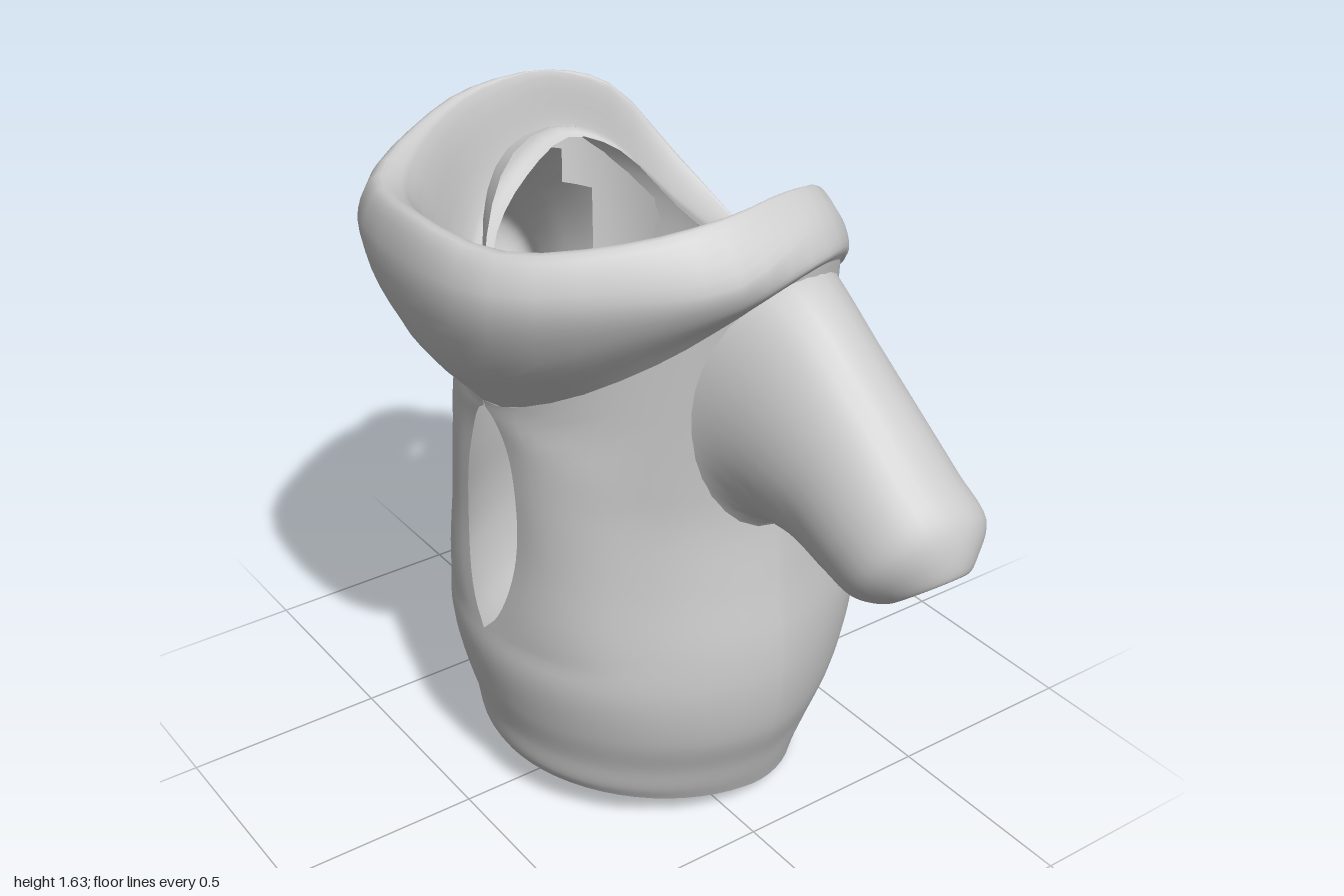
import * as THREE from 'three';
import { mergeVertices } from 'three/addons/utils/BufferGeometryUtils.js';

const V = (x, y, z) => new THREE.Vector3(x, y, z);
const material = new THREE.MeshStandardMaterial({ color: 0xcccccc, side: THREE.DoubleSide });

// Smooth skin through closed rings; each ring maps u in 0..1 to a point.
// warp moves points, hole leaves out faces.
function loft(name, rings, cols, rows, warp = () => {}, hole = () => false) {
  const pts = [], idx = [];
  for (let c = 0; c <= cols; c++) {
    const line = new THREE.CatmullRomCurve3(rings.map(r => r(c / cols)));
    for (let r = 0; r <= rows; r++) {
      const p = line.getPoint(r / rows);
      warp(p, c / cols);
      pts.push(p);
    }
  }
  for (let c = 0; c < cols; c++) for (let r = 0; r < rows; r++) {
    const a = c * (rows + 1) + r, b = a + rows + 1;
    if (!hole(pts[a])) idx.push(a, b, b + 1, a, b + 1, a + 1);
  }
  let geo = new THREE.BufferGeometry().setFromPoints(pts);
  geo.setIndex(idx);
  geo = mergeVertices(geo, 1e-4);
  geo.computeVertexNormals();
  const mesh = new THREE.Mesh(geo, material);
  mesh.name = name;
  return mesh;
}

// Closed loop from points on the +x half, front to back, mirrored.
function halfLoop(...points) {
  const half = points.map(p => V(...p));
  const other = half.slice(1, -1).reverse().map(p => V(-p.x, p.y, p.z));
  const curve = new THREE.CatmullRomCurve3([...half, ...other], true);
  return u => curve.getPoint(u % 1);
}

// Torso ring: front and back heights, half width, front and back depth,
// and how strongly the back narrows towards its middle.
function torsoRing([yF, yB, w, zF, zB, narrow]) {
  return u => {
    const a = (u % 1) * Math.PI * 2, c = Math.cos(a), zc = -0.05;
    return V(w * Math.sin(a), (yF + yB) / 2 + (yF - yB) / 2 * c,
      c > 0 ? zc + (zF - zc) * c : zc + (zB - zc) * Math.pow(-c, narrow));
  };
}

// Sleeve ring: top point, bottom point, front and back depth,
// and how far its front and back wrap around the torso.
function sleeveRing([tx, ty, bx, by, zF, zB, wrap]) {
  return u => {
    const a = (u % 1) * Math.PI * 2, c = Math.cos(a), s = Math.sin(a);
    return V((tx + bx) / 2 + (tx - bx) / 2 * c - wrap * s * s,
      (ty + by) / 2 + (ty - by) / 2 * c, (zF + zB) / 2 + (zF - zB) / 2 * s);
  };
}

// Parts the front of the torso into an almond-shaped opening.
function openFront(p, u) {
  const k = (p.y - 0.79) / 0.29;
  if (p.z < 0 || Math.abs(k) >= 1) return;
  const spread = 0.107 * Math.pow(1 - k * k, 0.62);
  const near = Math.max(0, 1 - Math.abs(p.x) / 0.36);
  p.x += (u < 0.5 ? 1 : -1) * spread * near;
}

// Armholes, hidden under the sleeve roots.
const armhole = p => Math.abs(p.x) > 0.35 &&
  Math.hypot((p.y - 1.16) / 0.22, (p.z + 0.06) / 0.14) < 1;

export function createModel() {
  const group = new THREE.Group();

  // Neck seam shared by torso and hood
  const seam = halfLoop([0, 1.095, 0.41], [0.2, 1.16, 0.36], [0.39, 1.29, 0.22], [0.5, 1.41, 0.08],
    [0.54, 1.49, -0.08], [0.47, 1.45, -0.2], [0.3, 1.32, -0.32], [0.12, 1.21, -0.4], [0, 1.17, -0.437]);

  // Torso from hem to neck
  const torso = [
    [0.1, 0, 0.4, 0.37, -0.4, 1.1],
    [0.13, 0.07, 0.42, 0.385, -0.42, 1.15],
    [0.2, 0.15, 0.447, 0.395, -0.485, 1.3],
    [0.3, 0.27, 0.492, 0.42, -0.545, 1.4],
    [0.43, 0.4, 0.515, 0.44, -0.585, 1.45],
    [0.55, 0.53, 0.515, 0.425, -0.6, 1.45],
    [0.72, 0.7, 0.492, 0.403, -0.56, 1.4],
    [0.88, 0.87, 0.475, 0.397, -0.5, 1.25],
    [1.0, 1.03, 0.48, 0.397, -0.462, 1.15],
  ].map(torsoRing);
  group.add(loft('torso', [...torso, seam], 64, 54, openFront, armhole));

  // Hood: bulging outside, rolled rim, then the lining down to the neck lip
  const bulge = halfLoop([0, 1.26, 0.545], [0.22, 1.29, 0.5], [0.43, 1.39, 0.32], [0.54, 1.45, 0.12],
    [0.56, 1.51, -0.05], [0.49, 1.49, -0.2], [0.32, 1.35, -0.33], [0.13, 1.24, -0.4], [0, 1.18, -0.44]);
  const upper = halfLoop([0, 1.46, 0.6], [0.27, 1.47, 0.55], [0.46, 1.49, 0.33], [0.555, 1.51, 0.13],
    [0.535, 1.57, -0.05], [0.46, 1.55, -0.2], [0.31, 1.4, -0.33], [0.12, 1.25, -0.405], [0, 1.195, -0.44]);
  const rim = halfLoop([0, 1.58, 0.565], [0.25, 1.565, 0.51], [0.41, 1.59, 0.32], [0.48, 1.62, 0.13],
    [0.455, 1.63, -0.07], [0.39, 1.59, -0.2], [0.28, 1.42, -0.32], [0.11, 1.26, -0.405], [0, 1.195, -0.435]);
  const neck = halfLoop([0, 1.19, 0.39], [0.18, 1.23, 0.335], [0.36, 1.34, 0.2], [0.43, 1.43, 0.06],
    [0.43, 1.5, -0.07], [0.37, 1.46, -0.19], [0.25, 1.33, -0.29], [0.1, 1.22, -0.385], [0, 1.175, -0.42]);
  const lining = u => rim(u).lerp(neck(u), 0.35).add(V(0, 0.09 * Math.cos(Math.PI * u) ** 2, 0));
  const lip = u => neck(u).multiply(V(0.95, 1, 0.92)).add(V(0, -0.03, -0.03));
  group.add(loft('hood', [seam, bulge, upper, rim, lining, neck, lip], 48, 30));

  // Sleeves blending out of the torso, with a turned-in cuff
  const sleeve = [
    [0.42, 1.5, 0.43, 0.78, 0.27, -0.37, 0.2],
    [0.56, 1.465, 0.51, 0.882, 0.16, -0.265, 0.1],
    [0.75, 1.305, 0.62, 0.885, 0.1, -0.24, 0.02],
    [0.9, 1.165, 0.71, 0.852, 0.08, -0.25, 0],
    [0.975, 1.085, 0.78, 0.825, 0.06, -0.26, 0],
    [0.998, 1.01, 0.82, 0.825, 0.01, -0.21, 0],
    [0.995, 0.965, 0.845, 0.838, -0.02, -0.175, 0],
    [0.975, 0.965, 0.862, 0.85, -0.035, -0.155, 0],
    [0.9, 1.0, 0.79, 0.885, -0.035, -0.155, 0],
  ].map(sleeveRing);
  const left = loft('leftSleeve', sleeve, 32, 40);
  const right = left.clone();
  right.name = 'rightSleeve';
  right.scale.x = -1;
  group.add(left, right);

  return group;
}
